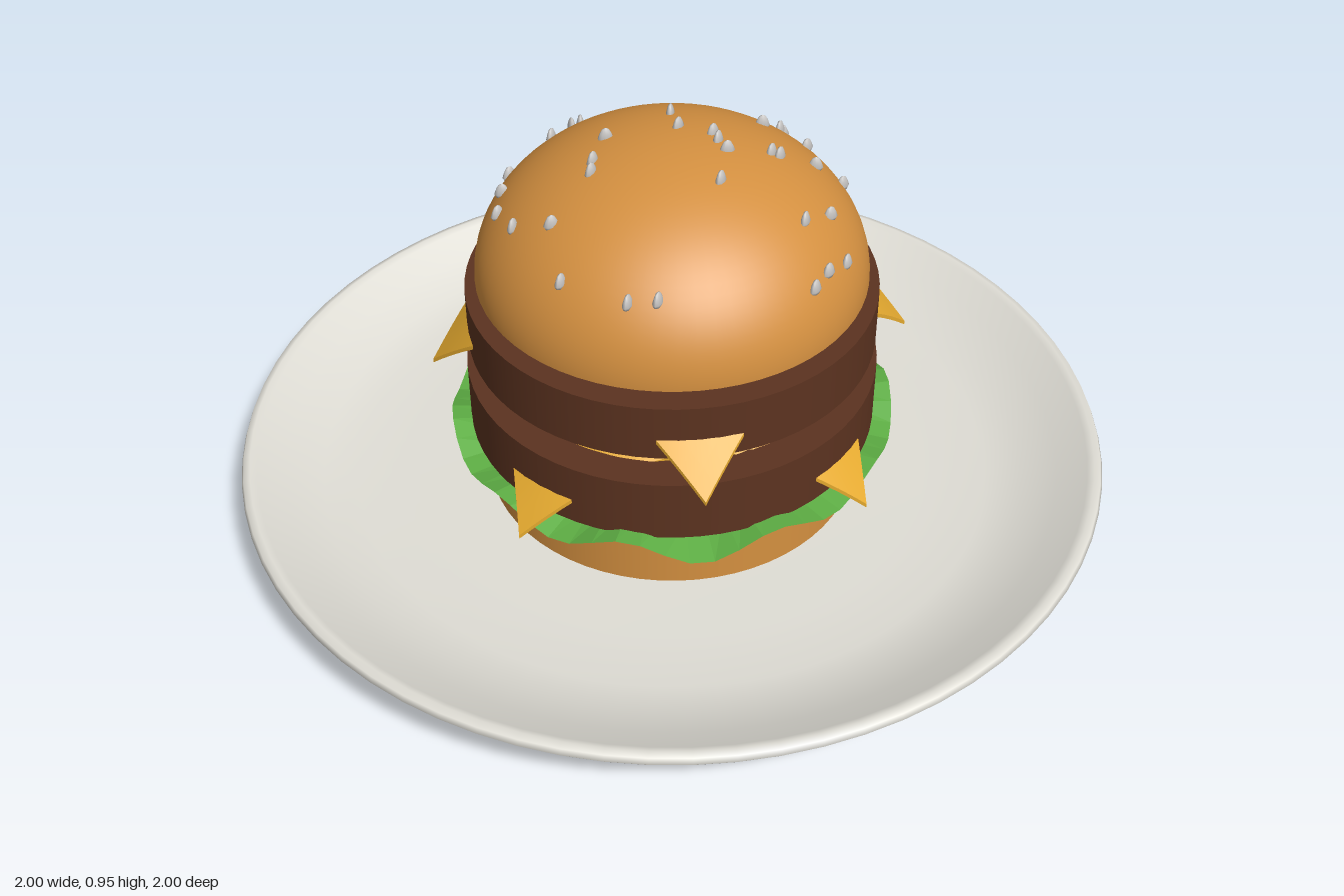
import * as THREE from 'three';

const material = (name, color, side = THREE.FrontSide) => {
  const m = new THREE.MeshStandardMaterial({ color, side });
  m.name = name;
  return m;
};

export function createModel() {
  const china = material('china', 0xe0ded6);
  const bread = material('bread', 0xd49040);
  const meat = material('meat', 0x5c3320);
  const cheese = material('cheese', 0xe8ac30);
  const leaf = material('leaf', 0x5fb045, THREE.DoubleSide);
  const red = material('tomato', 0xcc3a2b);
  const seedGrey = material('seed', 0xc4c2c0);

  const model = new THREE.Group();
  model.name = 'burgerOnPlate';
  const add = (name, geometry, mat, parent = model) => {
    const mesh = new THREE.Mesh(geometry, mat);
    mesh.name = name;
    parent.add(mesh);
    return mesh;
  };
  const lathe = (pts) => new THREE.LatheGeometry(pts.map(([x, y]) => new THREE.Vector2(x, y)), 72);
  const disc = (name, radius, y0, y1, mat) => {
    add(name, new THREE.CylinderGeometry(radius, radius, y1 - y0, 64), mat).position.y = (y0 + y1) / 2;
  };

  // Plate: flat foot, sloping wall, rounded rim and shallow bowl
  const plate = new THREE.Group();
  plate.name = 'plate';
  model.add(plate);
  add('plateFoot', lathe([[0, 0], [0.78, 0]]), china, plate);
  add('plateWall', lathe([[0.78, 0], [0.99, 0.13]]), china, plate);
  add('plateTop', lathe([[0.99, 0.13], [1, 0.143], [0.995, 0.156], [0.98, 0.16], [0.965, 0.153],
    [0.9, 0.118], [0.82, 0.085], [0.74, 0.069], [0.6, 0.065], [0, 0.065]]), china, plate);

  // Bottom bun, patties and tomato
  disc('bottomBun', 0.433, 0.065, 0.195, bread);
  disc('lowerPatty', 0.466, 0.23, 0.38, meat);
  disc('tomatoSlice', 0.365, 0.405, 0.45, red);
  disc('upperPatty', 0.459, 0.45, 0.583, meat);

  // Lettuce: a disc whose edge ripples up and down
  let lettuce = new THREE.RingGeometry(0.05, 0.51, 60, 4).rotateX(-Math.PI / 2);
  const lp = lettuce.attributes.position;
  for (let i = 0; i < lp.count; i++) {
    const x = lp.getX(i), z = lp.getZ(i);
    const r = Math.hypot(x, z) / 0.51, a = Math.atan2(z, x);
    lp.setY(i, 0.221 + r ** 3 * (0.022 * Math.sin(10 * a) + 0.008 * Math.sin(7 * a + 1)));
  }
  lettuce = lettuce.toNonIndexed();
  lettuce.computeVertexNormals();
  add('lettuce', lettuce, leaf);

  // Cheese: square slices with drooping corners
  const cheeseSlice = (name, top, turn) => {
    const g = new THREE.BoxGeometry(0.765, 0.01, 0.765, 24, 1, 24);
    const p = g.attributes.position;
    for (let i = 0; i < p.count; i++) {
      const r = Math.hypot(p.getX(i), p.getZ(i));
      p.setY(i, p.getY(i) + top - Math.max(0, r - 0.375) * 1.22);
    }
    g.computeVertexNormals();
    add(name, g, cheese).rotation.y = turn;
  };
  cheeseSlice('lowerCheese', 0.397, Math.PI / 4);
  cheeseSlice('upperCheese', 0.597, 0);

  // Top bun: half ellipsoid with a flat base
  const R = 0.435, H = 0.322, base = 0.61;
  const dome = new THREE.SphereGeometry(1, 64, 24, 0, Math.PI * 2, 0, Math.PI / 2).scale(R, H, R);
  add('topBun', dome, bread).position.y = base;
  add('topBunBase', new THREE.CircleGeometry(R, 64).rotateX(Math.PI / 2), bread).position.y = base;

  // Sesame seeds: small upright teardrops, given as x, z pairs on the dome
  const spots = [
    -0.09, -0.39, -0.2, -0.31, -0.26, -0.27, -0.3, -0.19, -0.29, -0.09, -0.37, 0, -0.16, -0.09,
    -0.13, -0.11, -0.05, -0.14, 0, -0.34, 0.07, -0.34, 0.1, -0.34, 0.27, -0.29, 0.32, -0.29,
    0.38, -0.13, 0.11, -0.09, 0.06, -0.03, 0.09, 0.04, 0.075, 0.065, 0.06, 0.1, -0.03, 0.15,
    0.145, 0.155, 0.155, 0.17, 0.26, 0.05, 0.37, 0.03, 0.33, 0.05, 0.32, 0.13, 0.235, 0.21,
    0.31, 0.235, 0.05, 0.31, 0.13, 0.32, -0.03, 0.395, 0.025, 0.39, 0.095, 0.39,
    -0.34, 0.15, -0.305, 0.2];
  const seeds = new THREE.Group();
  seeds.name = 'sesameSeeds';
  model.add(seeds);
  const seedShape = new THREE.LatheGeometry([[0, -0.017], [0.012, -0.014], [0.016, -0.006],
    [0.012, 0.006], [0.007, 0.016], [0, 0.02]].map(([x, y]) => new THREE.Vector2(x, y)), 10)
    .scale(1.1, 1, 0.6);
  for (let i = 0; i < spots.length; i += 2) {
    const [x, z] = [spots[i], spots[i + 1]];
    const y = base + H * Math.sqrt(1 - (x * x + z * z) / (R * R));
    const seed = add('sesameSeed', seedShape, seedGrey, seeds);
    seed.position.set(x, y + 0.004, z);
    seed.rotation.y = 0.5 * Math.sin(i * 2.3) + (x * z > 0 ? -0.3 : 0.5);
  }
  return model;
}
